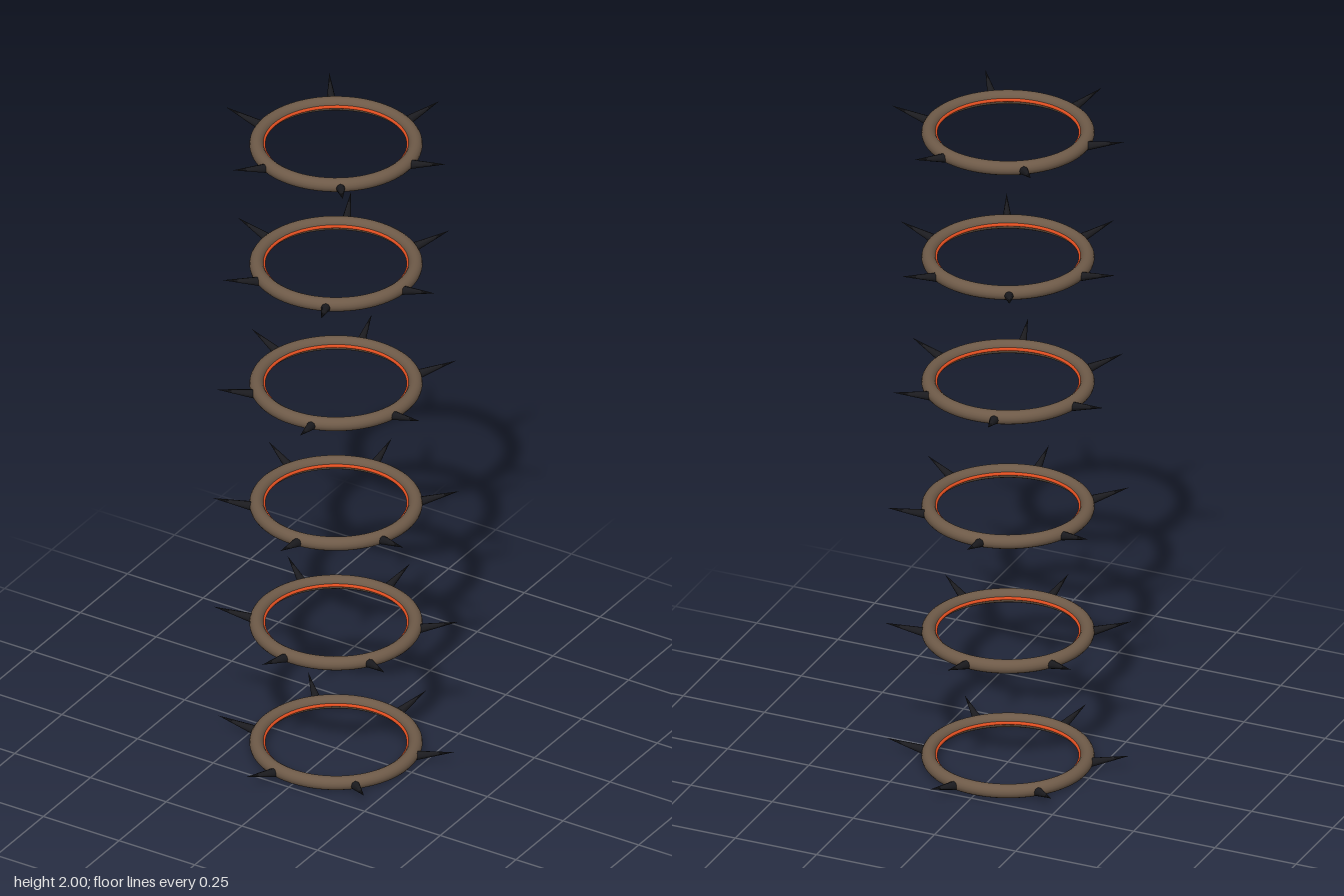
import * as THREE from 'three';

const RINGS = 6, SPIKES = 6;
const FIRST_Y = 0.02, SPACING = 0.391;
const TILT = 0.262, SPIKE_LENGTH = 0.12, SPIKE_RADIUS = 0.0145;

export function createModel() {
  const model = new THREE.Group();
  model.name = 'spikedRingStack';

  const bandMat = new THREE.MeshStandardMaterial({ color: 0x6e5a48 });
  const trimMat = new THREE.MeshStandardMaterial({ color: 0xe04e20 });
  const spikeMat = new THREE.MeshStandardMaterial({ color: 0x1c1c20 });

  // Thick band and the thin trim lining its inside, both lying flat
  const bandGeo = new THREE.TorusGeometry(0.223, 0.02, 16, 72).rotateX(Math.PI / 2);
  const trimGeo = new THREE.TorusGeometry(0.203, 0.005, 10, 72).rotateX(Math.PI / 2);

  // Spike pointing outward along +x, tilted upward from the band
  const spikeGeo = new THREE.ConeGeometry(SPIKE_RADIUS, SPIKE_LENGTH, 8)
    .translate(0, SPIKE_LENGTH / 2, 0)
    .rotateZ(TILT - Math.PI / 2)
    .translate(0.23, -0.004, 0);

  const addMesh = (parent, geometry, material, name) => {
    const mesh = new THREE.Mesh(geometry, material);
    mesh.name = name;
    parent.add(mesh);
    return mesh;
  };

  for (let i = 0; i < RINGS; i++) {
    const ring = new THREE.Group();
    ring.name = `ring${i + 1}`;
    ring.position.y = FIRST_Y + i * SPACING;
    addMesh(ring, bandGeo, bandMat, 'band');
    addMesh(ring, trimGeo, trimMat, 'innerTrim');

    // Each ring's spikes turn ten degrees further than the ring below
    for (let k = 0; k < SPIKES; k++) {
      const spike = addMesh(ring, spikeGeo, spikeMat, `spike${k + 1}`);
      spike.rotation.y = THREE.MathUtils.degToRad(15 + 10 * i + (360 / SPIKES) * k);
    }
    model.add(ring);
  }
  return model;
}
